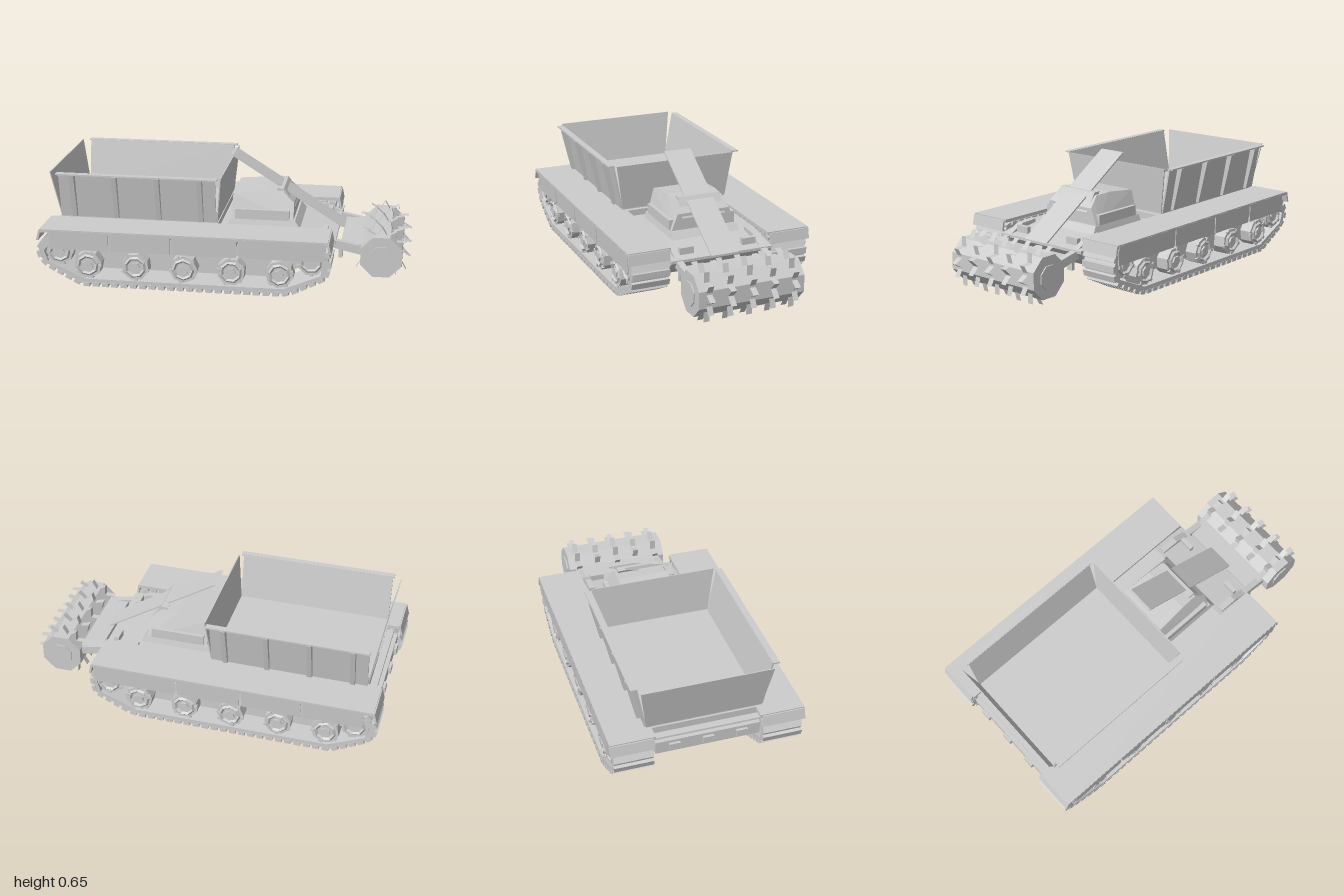
import * as THREE from 'three';
import { ConvexGeometry } from 'three/addons/geometries/ConvexGeometry.js';

const grey = new THREE.MeshStandardMaterial({ color: 0xcccccc });
grey.name = 'plain grey';

export function createModel() {
  const model = new THREE.Group();
  model.name = 'trackedMiner';

  const add = (name, geometry, parent = model) => {
    const flat = geometry.index ? geometry.toNonIndexed() : geometry;
    flat.computeVertexNormals();
    const mesh = new THREE.Mesh(flat, grey);
    mesh.name = name;
    parent.add(mesh);
    return mesh;
  };
  const group = (name) => {
    const g = new THREE.Group();
    g.name = name;
    model.add(g);
    return g;
  };
  // box given by its limits
  const box = (name, x0, x1, y0, y1, z0, z1, parent) =>
    add(name, new THREE.BoxGeometry(x1 - x0, y1 - y0, Math.abs(z1 - z0))
      .translate((x0 + x1) / 2, (y0 + y1) / 2, (z0 + z1) / 2), parent);
  // solid between two level rectangles [x0, x1, z0, z1] at heights y0 and y1
  const frustum = (name, y0, a, y1, b, parent) => {
    const points = [];
    for (const [y, r] of [[y0, a], [y1, b]])
      for (const x of [r[0], r[1]]) for (const z of [r[2], r[3]]) points.push(new THREE.Vector3(x, y, z));
    return add(name, new ConvexGeometry(points), parent);
  };
  // side profile in x and y, extruded between two z values
  const toPoints = (list) => list.map(([x, y]) => new THREE.Vector2(x, y));
  const profile = (name, list, z0, z1, parent, hole) => {
    const shape = new THREE.Shape(toPoints(list));
    if (hole) shape.holes.push(new THREE.Path(toPoints(hole)));
    return add(name, new THREE.ExtrudeGeometry(shape, { depth: z1 - z0, bevelEnabled: false })
      .translate(0, 0, z0), parent);
  };
  // many-sided disc lying across the vehicle
  const disc = (name, x, y, z, r, depth, sides, parent, turn = Math.PI / sides) =>
    add(name, new THREE.CylinderGeometry(r, r, depth, sides)
      .rotateX(Math.PI / 2).rotateZ(turn).translate(x, y, z), parent);

  // hull between the tracks, with a belly that curves up at both ends
  const hull = group('hull');
  profile('hullBody', [[-0.94, 0.28], [-0.95, 0.2], [-0.86, 0.12], [-0.72, 0.08], [-0.4, 0.068],
    [0.1, 0.068], [0.3, 0.082], [0.45, 0.125], [0.55, 0.18], [0.6, 0.235], [0.6, 0.25], [0.38, 0.285]],
  -0.29, 0.29, hull);
  box('hopperBed', -0.9, -0.04, 0.28, 0.318, -0.31, 0.31, hull);
  frustum('cabBase', 0.28, [0, 0.4, -0.2, 0.2], 0.32, [0.01, 0.37, -0.19, 0.19], hull);
  box('rearBeam', -0.965, -0.92, 0.2, 0.27, -0.28, 0.28, hull);
  for (const z of [-0.18, 0, 0.18]) {
    box('rearBlock', -0.98, -0.96, 0.215, 0.255, z - 0.03, z + 0.03, hull);
  }

  // closed track path, counter-clockwise from the rear bottom corner
  const path = [[-0.75, 0.018], [0.36, 0.018], [0.565, 0.12], [0.583, 0.2], [0.55, 0.275],
    [-0.93, 0.275], [-0.982, 0.2], [-0.96, 0.13]];
  const inner = path.map(([x, y]) => [-0.2 + (x + 0.2) * 0.965, 0.155 + (y - 0.155) * 0.82]);
  const count = 66;
  const loop = new THREE.Shape(toPoints([...path, path[0]])).getSpacedPoints(count);

  for (const side of [1, -1]) {
    const track = group(side > 0 ? 'leftTrack' : 'rightTrack');
    const zc = 0.399 * side;
    profile('belt', path, zc - 0.104, zc + 0.104, track, inner);
    for (let i = 0; i < count; i++) {
      const p = loop[i], q = loop[i + 1];
      const t = new THREE.Vector2().subVectors(q, p).normalize();
      add('trackPad', new THREE.BoxGeometry(0.035, 0.022, 0.212)
        .rotateZ(Math.atan2(t.y, t.x))
        .translate((p.x + q.x) / 2 + t.y * 0.007, (p.y + q.y) / 2 - t.x * 0.007, zc), track);
    }
    profile('trackFrame', [[-0.86, 0.27], [-0.86, 0.18], [-0.72, 0.08], [0.32, 0.08],
      [0.48, 0.18], [0.48, 0.27]], side > 0 ? 0.29 : -0.42, side > 0 ? 0.42 : -0.29, track);

    // road wheels and end sprockets with layered hubs
    const wheels = [[-0.717, 0.118], [-0.457, 0.118], [-0.195, 0.118], [0.062, 0.118], [0.32, 0.118],
      [-0.87, 0.19], [0.487, 0.197]];
    wheels.forEach(([x, y], i) => {
      disc('wheel', x, y, side * 0.445, 0.076, 0.09, 8, track, 0.2 + i * 0.3);
      add('wheelRim', new THREE.TorusGeometry(0.052, 0.01, 4, 8)
        .rotateZ(0.2 + i * 0.3).translate(x, y, side * 0.49), track);
      disc('wheelHub', x, y, side * 0.493, 0.028, 0.014, 6, track, i * 0.5);
      for (let k = 0; k < 5; k++) {
        const a = k * Math.PI * 0.4 + i;
        add('wheelLug', new THREE.BoxGeometry(0.018, 0.016, 0.016).rotateZ(a)
          .translate(x + Math.cos(a) * 0.068, y + Math.sin(a) * 0.068, side * 0.488), track);
      }
    });

    // fender plate with four hanging skirt panels
    box('fender', -0.97, 0.575, 0.3, 0.318, side * 0.28, side * 0.52, track);
    const cuts = [-0.925, -0.59, -0.257, 0.1, 0.57];
    for (let i = 0; i < 4; i++) {
      const x0 = cuts[i] + 0.004, x1 = cuts[i + 1] - 0.004;
      frustum('skirtPanel', 0.208, [x0 + 0.004, x1 - 0.004, side * 0.51, side * 0.515],
        0.312, [x0, x1, side * 0.515, side * 0.521], track);
    }
    for (const [x, lean] of [[-0.97, -0.015], [0.575, 0.012]]) {
      frustum('endFlap', 0.255, [x + lean - 0.006, x + lean + 0.006, side * 0.29, side * 0.52],
        0.312, [x - 0.006, x + 0.006, side * 0.29, side * 0.52], track);
    }
  }

  // open hopper made of four leaning plates
  const hopper = group('hopper');
  box('hopperFloor', -0.9, -0.04, 0.328, 0.338, -0.31, 0.31, hopper);
  frustum('rearWall', 0.335, [-0.902, -0.896, -0.31, 0.31], 0.59, [-0.951, -0.945, -0.35, 0.35], hopper);
  frustum('frontWall', 0.335, [-0.043, -0.037, -0.31, 0.31], 0.59, [-0.018, -0.012, -0.35, 0.35], hopper);
  for (const s of [1, -1]) {
    frustum('sideWall', 0.335, [-0.9, -0.043, s * 0.308, s * 0.318],
      0.59, [-0.9, -0.043, s * 0.355, s * 0.365], hopper);
    box('topFlange', -0.908, -0.03, 0.584, 0.592, s * 0.357, s * 0.392, hopper);
    for (const x of [-0.82, -0.588, -0.355, -0.124]) {
      frustum('rib', 0.34, [x - 0.013, x + 0.013, s * 0.316, s * 0.338],
        0.584, [x - 0.013, x + 0.013, s * 0.362, s * 0.396], hopper);
    }
  }

  // low cab with a sloping nose
  const cab = group('cab');
  const cabPoints = [];
  for (const s of [1, -1]) {
    for (const [x, y, z] of [[0.02, 0.32, 0.185], [0.36, 0.32, 0.185], [0.025, 0.455, 0.15],
      [0.2, 0.472, 0.14], [0.3, 0.467, 0.135], [0.36, 0.41, 0.15]]) {
      cabPoints.push(new THREE.Vector3(x, y, z * s));
    }
    box('sideRail', 0.04, 0.34, 0.32, 0.375, s * 0.165, s * 0.192, cab);
  }
  add('cabShell', new ConvexGeometry(cabPoints), cab);
  frustum('windowFrame', 0.385, [0.3, 0.366, -0.125, 0.125], 0.483, [0.26, 0.3, -0.122, 0.122], cab);

  // conveyor chute rising from the cutter to above the hopper
  const conveyor = group('conveyor');
  frustum('chutePlate', 0.262, [0.62, 0.635, -0.078, 0.078], 0.65, [0, 0.015, -0.078, 0.078], conveyor);

  // arms and crossbar carrying the cutter
  const cutter = group('cutter');
  const cx = 0.845, cy = 0.172;
  for (const s of [1, -1]) {
    const z0 = s > 0 ? 0.225 : -0.26;
    profile('arm', [[0.4, 0.265], [0.4, 0.3], [0.5, 0.295], [0.6, 0.245], [0.78, 0.21],
      [0.78, 0.16], [0.6, 0.2]], z0, z0 + 0.035, cutter);
    box('armFoot', 0.615, 0.637, 0.15, 0.2, z0, z0 + 0.035, cutter);
    box('armBracket', 0.525, 0.55, 0.25, 0.295, s * 0.14, s * 0.22, cutter);
    disc('drumCap', cx, cy, s * 0.297, 0.066, 0.01, 8, cutter);
  }
  frustum('crossbar', 0.192, [0.62, 0.75, -0.25, 0.25], 0.225, [0.625, 0.75, -0.25, 0.25], cutter);
  disc('drum', cx, cy, 0, 0.12, 0.59, 8, cutter);

  // five staggered rings of wedge teeth, open at their sides
  [-0.238, -0.119, 0, 0.119, 0.238].forEach((z, ring) => {
    for (let k = 0; k < 12; k++) {
      const a = (k + (ring % 2) / 2) * Math.PI / 6;
      add('tooth', new THREE.CylinderGeometry(0.034, 0.034, 0.032, 3, 1, true)
        .rotateX(Math.PI / 2).rotateZ(Math.PI / 2)
        .translate(0.121, 0, 0).rotateZ(a).translate(cx, cy, z), cutter);
    }
  });
  return model;
}
